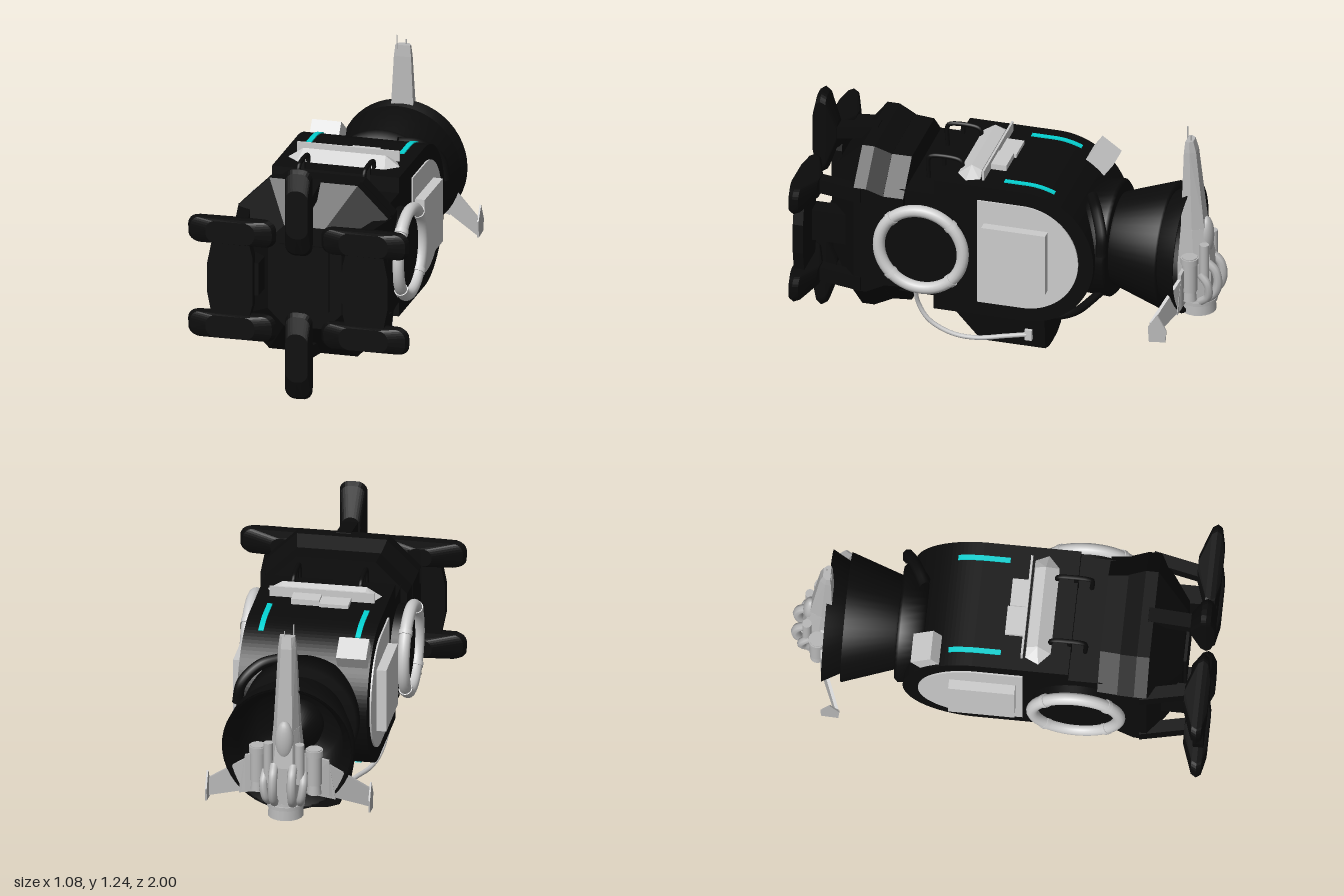
import * as THREE from 'three';
import { ConvexGeometry } from 'three/addons/geometries/ConvexGeometry.js';

const V = (x, y, z) => new THREE.Vector3(x, y, z);
const CY = 0.605; // height of the main axis

export function createModel() {
  const root = new THREE.Group();
  const mat = (name, color, extra = {}) => {
    const m = new THREE.MeshStandardMaterial({ color, ...extra });
    m.name = name;
    return m;
  };
  const dark = mat('hull black', 0x0b0b0b, { side: THREE.DoubleSide });
  const light = mat('panel grey', 0xcccccc);
  const grey = mat('fighter grey', 0xb8b8b8);
  const cyan = mat('cyan light', 0x04d2d2);

  const add = (name, geo, m, parent = root) => {
    const mesh = new THREE.Mesh(geo, m);
    mesh.name = name;
    parent.add(mesh);
    return mesh;
  };
  const box = (name, m, x0, x1, y0, y1, z0, z1, parent) => {
    const b = add(name, new THREE.BoxGeometry(Math.abs(x1 - x0), y1 - y0, z1 - z0), m, parent);
    b.position.set((x0 + x1) / 2, (y0 + y1) / 2, (z0 + z1) / 2);
    return b;
  };
  const hull = (name, m, pts, parent) => add(name, new ConvexGeometry(pts), m, parent);
  const tube = (name, m, r, pts, parent) =>
    add(name, new THREE.TubeGeometry(new THREE.CatmullRomCurve3(pts), 40, r, 8), m, parent);
  const beam = (name, m, a, b, w, h) => {
    const mesh = add(name, new THREE.BoxGeometry(w, h, a.distanceTo(b)), m);
    mesh.position.copy(a).lerp(b, 0.5);
    mesh.lookAt(b);
    return mesh;
  };
  // Extrudes a (z, y) outline across x, from x0 to x0 + depth
  const across = (name, m, shape, x0, depth) => {
    const g = new THREE.ExtrudeGeometry(shape, { depth, bevelEnabled: false, curveSegments: 28 });
    g.rotateY(-Math.PI / 2).translate(x0 + depth, 0, 0);
    return add(name, g, m);
  };
  // Outline with a flat front and a round back
  const dShape = (front, r) => {
    const s = new THREE.Shape();
    s.moveTo(front, CY - r);
    s.lineTo(-0.1, CY - r);
    s.absarc(-0.1, CY, r, -Math.PI / 2, -Math.PI * 1.5, true);
    s.lineTo(front, CY + r);
    return s;
  };
  const octagon = (z, w, h, cut) => [];
  const oct = (z, w, h, c) => [-1, 1].flatMap(i => [-1, 1].flatMap(j =>
    [V(i * w, CY + j * (h - c), z), V(i * (w - c), CY + j * h, z)]));

  // Main body and keel
  across('mainBody', dark, dShape(0.335, 0.345), -0.31, 0.62);
  box('bodyNeck', dark, -0.31, 0.31, 0.33, 0.875, 0.33, 0.5);
  hull('keel', dark, [-1, 1].flatMap(s => [
    V(s * 0.155, 0.28, 0.37), V(s * 0.155, 0.28, -0.16), V(s * 0.132, 0.025, 0.155),
    V(s * 0.132, 0.025, -0.16), V(s * 0.07, 0.004, 0.137), V(s * 0.07, 0.004, -0.16),
    V(0, 0, 0.137), V(0, 0, -0.16)]));

  // Eight-sided docking head
  hull('headCollar', dark, [...oct(0.475, 0.34, 0.385, 0.15), ...oct(0.6, 0.35, 0.39, 0.15)]);
  hull('dockingHead', dark, [...oct(0.57, 0.35, 0.39, 0.15), ...oct(0.65, 0.365, 0.425, 0.15),
    ...oct(0.71, 0.365, 0.425, 0.15), ...oct(0.86, 0.18, 0.25, 0.08)]);
  box('headFace', dark, -0.12, 0.12, CY - 0.16, CY + 0.16, 0.85, 0.875);

  // Landing pads: rounded lenses, flat towards the front
  const pad = (name, x, y, turn) => {
    const pts = [];
    const outline = (len, wid, z) => {
      for (let i = 0; i < 24; i++) {
        const a = (i / 24) * Math.PI * 2, r = Math.min(0.05, wid);
        pts.push(V(Math.cos(a) * r + Math.sign(Math.cos(a)) * (len - r),
          Math.sin(a) * r + Math.sign(Math.sin(a)) * (wid - r), z));
      }
    };
    outline(0.12, 0.055, 1.0);
    outline(0.2, 0.062, 0.982);
    outline(0.215, 0.067, 0.96);
    outline(0.2, 0.062, 0.935);
    outline(0.06, 0.045, 0.885);
    const p = hull(name, dark, pts);
    p.position.set(x, y, 0);
    p.rotation.z = turn;
  };
  for (const j of [-1, 1]) {
    pad('verticalPad', 0, CY + j * 0.357, Math.PI / 2);
    beam('verticalStrut', dark, V(0, CY + j * 0.4, 0.68), V(0, CY + j * 0.357, 0.93), 0.07, 0.06);
    for (const s of [-1, 1]) {
      pad('sidePad', s * 0.325, CY + j * 0.235, 0);
      beam('sideStrut', dark, V(s * 0.345, CY + j * 0.235, 0.67), V(s * 0.29, CY + j * 0.235, 0.93), 0.06, 0.07);
    }
  }

  for (const s of [-1, 1]) {
    // Upright plates joining the side pads
    hull('padBridge', dark, [0.935, 0.985].flatMap(z => [-1, 1].flatMap(j => [
      V(s * 0.24, CY + j * 0.2, z), V(s * 0.415, CY + j * 0.2, z), V(s * 0.42, CY + j * 0.11, z),
      V(s * 0.44, CY + j * 0.075, z), V(s * 0.22, CY + j * 0.12, z)])));
    box('bridgeStrut', dark, s * 0.2, s * 0.29, CY - 0.08, CY + 0.08, 0.74, 0.95);

    // Side port with its padded ring
    const drum = add('portDrum', new THREE.CylinderGeometry(0.21, 0.21, 0.07, 48), dark);
    drum.rotation.z = Math.PI / 2;
    drum.position.set(s * 0.33, CY, 0.378);
    const ring = add('portRing', new THREE.TorusGeometry(0.205, 0.029, 14, 56), light);
    ring.rotation.y = Math.PI / 2;
    ring.position.set(s * 0.376, CY, 0.378);
    for (let i = 0; i < 4; i++) {
      const a = Math.PI / 4 + i * Math.PI / 2;
      const band = add('ringBand', new THREE.CylinderGeometry(0.033, 0.033, 0.022, 16), light);
      band.position.set(s * 0.376, CY + Math.sin(a) * 0.205, 0.378 + Math.cos(a) * 0.205);
      band.rotation.x = -a;
    }

    // Side plate and raised panel
    across('sidePlate', light, dShape(0.12, 0.272), s > 0 ? 0.31 : -0.318, 0.008);
    box('sidePanel', light, s * 0.31, s * 0.365, 0.447, 0.76, -0.225, 0.087);

    // Hose and its socket
    tube('hose', light, 0.011, [V(s * 0.32, 0.4, 0.425), V(s * 0.275, 0.26, 0.42), V(s * 0.265, 0.17, 0.37),
      V(s * 0.25, 0.105, 0.26), V(s * 0.225, 0.085, 0.15), V(s * 0.18, 0.09, 0.02), V(s * 0.145, 0.095, -0.08)]);
    box('hoseSocket', light, s * 0.13, s * 0.157, 0.068, 0.122, -0.1, -0.065);

    // Light strips hugging the round back, above and below
    for (const j of [-1, 1]) {
      const sh = new THREE.Shape();
      const a0 = Math.PI / 2, a1 = a0 + 0.4;
      sh.moveTo(0.01, 0.343);
      sh.lineTo(0.01, 0.351);
      sh.absarc(-0.1, 0, 0.351, a0, a1, false);
      sh.absarc(-0.1, 0, 0.343, a1, a0, true);
      const strip = across('lightStrip', cyan, sh, -0.0125, 0.025);
      strip.position.set(s * 0.231, CY, 0);
      if (j < 0) strip.rotation.z = Math.PI;
    }

    // Roof handrails
    tube('handrail', dark, 0.011, [V(s * 0.16, 0.86, 0.4), V(s * 0.16, 0.98, 0.4), V(s * 0.16, 0.993, 0.38),
      V(s * 0.16, 0.993, 0.26), V(s * 0.16, 0.98, 0.24), V(s * 0.16, 0.93, 0.235)]);
    beam('railPost', dark, V(s * 0.16, 0.87, 0.33), V(s * 0.16, 0.99, 0.325), 0.018, 0.018);
    tube('underPipe', dark, 0.02, [V(s * 0.13, 0.22, -0.14), V(s * 0.15, 0.22, -0.22),
      V(s * 0.17, 0.27, -0.32), V(s * 0.18, 0.35, -0.4), V(s * 0.18, 0.42, -0.46)]);
  }

  // Roof sensor wedge, back plate, block and tilted box
  hull('roofWedge', light, [-1, 1].flatMap(s => [V(s * 0.215, 0.945, 0.25), V(s * 0.28, 0.945, 0.19),
    V(s * 0.25, 0.945, 0.125), V(s * 0.2, 0.997, 0.18), V(s * 0.2, 0.975, 0.13)]));
  box('roofPlate', light, -0.25, 0.25, 0.94, 1.0, 0.105, 0.115);
  box('roofBlock', light, -0.14, 0.0, 0.94, 0.968, 0.02, 0.105);
  box('roofBlock', light, 0.0, 0.135, 0.94, 0.978, 0.03, 0.105);
  const crate = box('tiltedBox', light, -0.3, -0.157, 0.85, 0.935, -0.395, -0.28);
  crate.rotation.x = -0.62;

  // Rear collar and flared engine bell
  const lathe = (name, pts) => {
    const g = new THREE.LatheGeometry(pts.map(p => new THREE.Vector2(p[0], p[1])), 48);
    g.rotateX(-Math.PI / 2).translate(0, CY - 0.005, 0);
    return add(name, g, dark);
  };
  lathe('rearCollar', [[0, 0.36], [0.275, 0.36], [0.28, 0.475], [0.265, 0.49], [0, 0.49]]);
  lathe('innerBell', [[0.215, 0.48], [0.225, 0.5], [0.307, 0.74], [0.26, 0.74]]);
  lathe('outerBell', [[0.26, 0.735], [0.312, 0.83], [0.3, 0.83], [0.25, 0.735], [0.2, 0.52], [0, 0.52]]);
  lathe('exhaustCone', [[0.12, 0.52], [0.12, 0.58], [0.06, 0.66], [0, 0.67]]);
  tube('rearPipe', dark, 0.027, [V(0.1, 0.86, -0.38), V(0.2, 0.84, -0.43), V(0.28, 0.76, -0.475), V(0.3, 0.66, -0.48)]);

  // Small fighter standing nose-up behind the bell
  const ship = new THREE.Group();
  ship.name = 'fighter';
  root.add(ship);
  const ringAt = (y, w, z0, z1) => [-1, 1].flatMap(s => [V(s * w, y, z1), V(s * w, y, (z0 + z1) / 2), V(s * w * 0.6, y, z0)]);
  hull('nose', grey, [...ringAt(1.185, 0.036, -0.85, -0.815), ...ringAt(1.13, 0.042, -0.865, -0.81),
    ...ringAt(0.72, 0.062, -0.91, -0.8)], ship);
  hull('fuselage', grey, [...ringAt(0.73, 0.062, -0.91, -0.8), ...ringAt(0.55, 0.078, -0.945, -0.79),
    ...ringAt(0.36, 0.075, -0.945, -0.79)], ship);
  const canopy = add('canopy', new THREE.SphereGeometry(1, 18, 12), grey, ship);
  canopy.scale.set(0.045, 0.1, 0.035);
  canopy.position.set(0, 0.68, -0.91);
  const cyl = (name, r0, r1, h, x, y, z) =>
    add(name, new THREE.CylinderGeometry(r0, r1, h, 20), grey, ship).position.set(x, y, z);
  cyl('engineNozzle', 0.078, 0.085, 0.08, 0, 0.325, -0.87);
  cyl('engineBand', 0.09, 0.09, 0.018, 0, 0.345, -0.87);
  cyl('antenna', 0.003, 0.003, 0.07, -0.027, 1.2, -0.81);
  cyl('antenna', 0.003, 0.003, 0.04, 0.012, 1.19, -0.835);
  for (const s of [-1, 1]) {
    cyl('sideEngine', 0.036, 0.036, 0.18, s * 0.135, 0.54, -0.865);
    cyl('engineCap', 0.042, 0.042, 0.03, s * 0.135, 0.61, -0.865);
    cyl('engineTail', 0.028, 0.034, 0.06, s * 0.135, 0.43, -0.865);
    cyl('fuelPod', 0.022, 0.022, 0.2, s * 0.075, 0.57, -0.92);
    tube('exhaustPipe', grey, 0.022, [V(s * 0.045, 0.56, -0.925), V(s * 0.045, 0.52, -0.965),
      V(s * 0.045, 0.46, -0.977), V(s * 0.045, 0.4, -0.96), V(s * 0.04, 0.36, -0.92)], ship);
    tube('exhaustPipe', grey, 0.02, [V(s * 0.09, 0.52, -0.9), V(s * 0.095, 0.47, -0.94),
      V(s * 0.085, 0.4, -0.94), V(s * 0.07, 0.36, -0.9)], ship);
    // Swept wing with an upright tip fin
    const t = 0.008;
    hull('wing', grey, [-t, t].flatMap(d => [V(s * 0.05, 0.6, -0.85 + d), V(s * 0.05, 0.4, -0.85 + d),
      V(s * 0.2, 0.56, -0.835 + d), V(s * 0.23, 0.36, -0.825 + d)]), ship);
    hull('wingTip', grey, [-t, t].flatMap(d => [V(s * 0.2, 0.54, -0.835 + d), V(s * 0.2, 0.38, -0.835 + d),
      V(s * 0.385, 0.39, -0.748 + d), V(s * 0.385, 0.3, -0.748 + d)]), ship);
    hull('tipFin', grey, [0.385, 0.393].flatMap(x => [V(s * x, 0.44, -0.78), V(s * x, 0.37, -0.735),
      V(s * x, 0.29, -0.74), V(s * x, 0.3, -0.82), V(s * x, 0.36, -0.825)]), ship);
  }
  return root;
}
